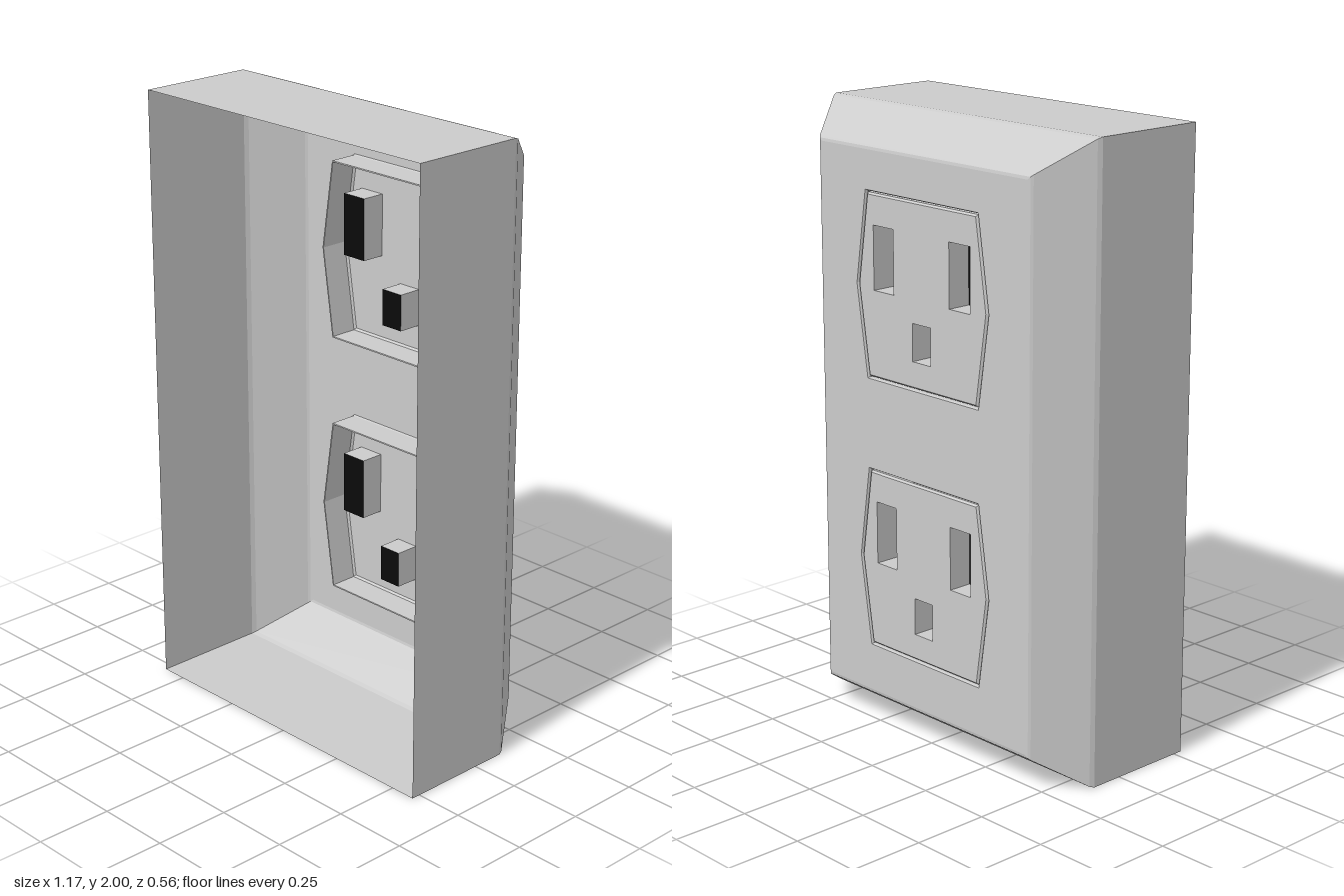
import * as THREE from 'three';

const FACE_Z = -0.28, OPEN_Z = 0.28, W = 0.587;
const grey = new THREE.MeshStandardMaterial({ color: 0xcccccc, side: THREE.DoubleSide });
const black = new THREE.MeshStandardMaterial({ color: 0x0a0a0a, side: THREE.DoubleSide });

// Corner loops, counter-clockwise seen from +z
const rect = (x, y, hw, hh) => [[x - hw, y - hh], [x + hw, y - hh], [x + hw, y + hh], [x - hw, y + hh]];
const hexagon = (y, s) => [[-0.25, -0.295], [0.25, -0.295], [0.295, 0], [0.25, 0.295], [-0.25, 0.295], [-0.295, 0]]
  .map(([px, py]) => [px * s, y + py * s]);

// Flat-shaded skin between successive loops, each given as { loop, z }
function loft(rings) {
  const pos = [];
  for (let r = 0; r < rings.length - 1; r++) {
    const n = rings[r].loop.length;
    for (let i = 0; i < n; i++) {
      const j = (i + 1) % n;
      const a = [...rings[r].loop[i], rings[r].z], a2 = [...rings[r].loop[j], rings[r].z];
      const b = [...rings[r + 1].loop[i], rings[r + 1].z], b2 = [...rings[r + 1].loop[j], rings[r + 1].z];
      pos.push(...a, ...b, ...b2, ...a, ...b2, ...a2);
    }
  }
  const g = new THREE.BufferGeometry();
  g.setAttribute('position', new THREE.Float32BufferAttribute(pos, 3));
  g.computeVertexNormals();
  return g;
}

// Flat sheet with holes facing -z (all outlines are symmetric in x)
function sheet(outline, holes, z) {
  const points = (loop) => loop.map(([x, y]) => new THREE.Vector2(-x, y));
  const shape = new THREE.Shape(points(outline));
  shape.holes = holes.map((h) => new THREE.Path(points(h)));
  return new THREE.ShapeGeometry(shape).rotateY(Math.PI).translate(0, 0, z);
}

function add(group, name, geometry, material = grey) {
  const mesh = new THREE.Mesh(geometry, material);
  mesh.name = name;
  group.add(mesh);
}

function makeSocket(y) {
  const socket = new THREE.Group();
  // Narrow groove folded inward around the socket
  add(socket, 'socketRim', loft([
    { loop: hexagon(y, 1.01), z: FACE_Z },
    { loop: hexagon(y, 1), z: FACE_Z + 0.005 },
    { loop: hexagon(y, 1), z: FACE_Z + 0.1 },
    { loop: hexagon(y, 0.985), z: FACE_Z + 0.1 },
    { loop: hexagon(y, 0.985), z: FACE_Z + 0.007 },
    { loop: hexagon(y, 0.965), z: FACE_Z },
  ]));
  // Two blade slots and the ground slot
  const slots = [
    rect(-0.171, y + 0.09, 0.046, 0.102),
    rect(0.171, y + 0.09, 0.046, 0.102),
    rect(0, y - 0.145, 0.041, 0.06),
  ];
  add(socket, 'socketFace', sheet(hexagon(y, 0.965), slots, FACE_Z));
  for (const loop of slots) {
    add(socket, 'slotWalls', loft([{ loop, z: FACE_Z }, { loop, z: FACE_Z + 0.08 }]));
    const end = new THREE.ShapeGeometry(new THREE.Shape(loop.map(([px, py]) => new THREE.Vector2(-px, py))));
    add(socket, 'slotEnd', end.rotateY(Math.PI).translate(0, 0, FACE_Z + 0.08), black);
  }
  return socket;
}

export function createModel() {
  const model = new THREE.Group();
  model.name = 'wallOutlet';

  // Open box with bevelled edges, softened at both bends
  const frame = (ix, iy) => rect(0, 1, W - ix, 1 - iy);
  const plateEdge = frame(0.13, 0.118);
  add(model, 'coverShell', loft([
    { loop: frame(0, 0), z: OPEN_Z },
    { loop: frame(0, 0), z: -0.11 },
    { loop: frame(0.006, 0.005), z: -0.125 },
    { loop: frame(0.113, 0.103), z: -0.272 },
    { loop: frame(0.12, 0.109), z: -0.278 },
    { loop: plateEdge, z: FACE_Z },
  ]));

  // Plate with an opening for each socket
  const centres = [1.46, 0.572];
  add(model, 'coverPlate', sheet(plateEdge, centres.map((y) => hexagon(y, 1.01)), FACE_Z));

  centres.forEach((y, i) => {
    const socket = makeSocket(y);
    socket.name = i === 0 ? 'upperSocket' : 'lowerSocket';
    model.add(socket);
  });
  return model;
}
